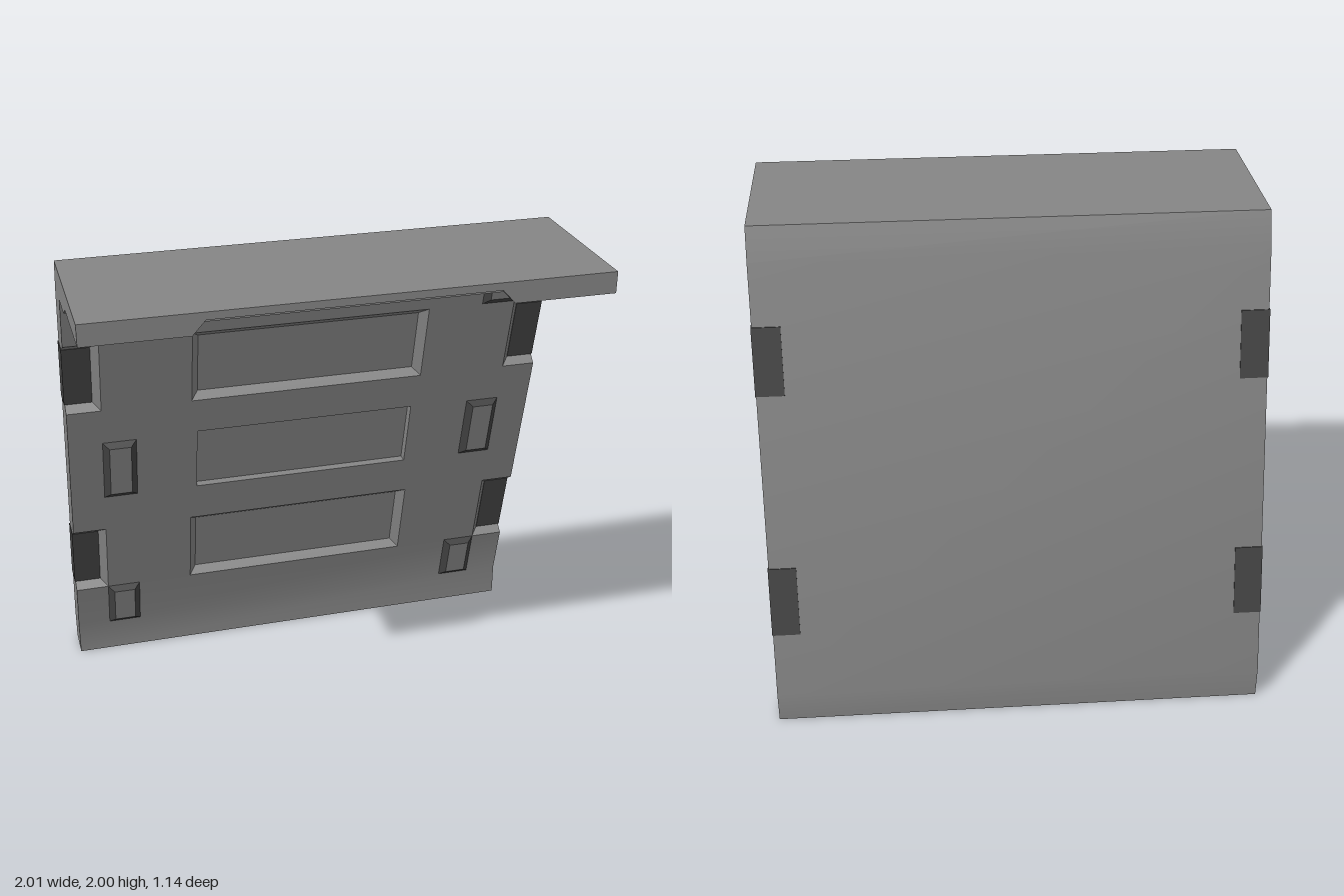
import * as THREE from 'three';
import { mergeGeometries, toCreasedNormals } from 'three/addons/utils/BufferGeometryUtils.js';

const DEPTH = 0.04; // recess depth
const RAISE = 0.023; // pad height
const frontZ = (y) => -0.43 + (y - 0.14) * 0.247;
const backZ = (y) => -0.57 + (y - 0.13) * 0.247;

// Mesh from four-cornered faces, corners counter-clockwise seen from outside
function quads(list) {
  const p = [];
  for (const [a, b, c, d] of list) p.push(...a, ...b, ...c, ...a, ...c, ...d);
  const g = new THREE.BufferGeometry();
  g.setAttribute('position', new THREE.Float32BufferAttribute(p, 3));
  return toCreasedNormals(g, 0.5);
}

// Sweeps a [z, y] path across x0..x1
function strip(path, x0 = -1, x1 = 1) {
  const list = [];
  for (let i = 0; i + 1 < path.length; i++) {
    const [za, ya] = path[i], [zb, yb] = path[i + 1];
    list.push([[x1, ya, za], [x0, ya, za], [x0, yb, zb], [x1, yb, zb]]);
  }
  return quads(list);
}

// Bevelled rectangle on the sloping wall; open = +1/-1 leaves that side unbevelled
function bevelled(x0, x1, y0, y1, inset, d, open = 0) {
  const ring = (i, h) => {
    const l = x0 + (open < 0 ? 0 : i), r = x1 - (open > 0 ? 0 : i);
    return [[l, y0 + i], [r, y0 + i], [r, y1 - i], [l, y1 - i]]
      .map(([x, y]) => [x, y, frontZ(y) + h]);
  };
  const o = ring(0, 0), n = ring(inset, d);
  const rim = [];
  for (let k = 0; k < 4; k++) {
    if ((open > 0 && k === 1) || (open < 0 && k === 3)) continue;
    const m = (k + 1) % 4;
    rim.push([o[k], o[m], n[m], n[k]]);
  }
  return { rim: quads(rim), face: quads([n]) };
}

const polygon = (pts) => new THREE.Shape(pts.map(([x, y]) => new THREE.Vector2(x, y)));

export function createModel() {
  const group = new THREE.Group();
  const grey = new THREE.MeshStandardMaterial({ color: 0x868686 });
  const dark = new THREE.MeshStandardMaterial({ color: 0x454545 });
  const add = (name, geometry, material = grey) => {
    const m = new THREE.Mesh(geometry, material);
    m.name = name;
    group.add(m);
  };

  const panels = [[0.49, 1.335, 1.665, 0.03], [0.465, 0.88, 1.175, 0], [0.49, 0.36, 0.705, 0.03]];
  const notches = [[0.36, 0.70], [1.335, 1.66]];
  const pads = [[0.14, 0.36], [0.88, 1.17], [1.665, 1.87]];

  // Back, roof and base
  add('backAndRoof', strip([[-0.57, 0], [-0.57, 0.13], [-0.14, 1.87], [-0.09, 2], [0.57, 2]]));
  add('roofUnderside', strip([[0.45, 1.915], [0.21, 1.915], [0.14, 1.875], [0, 1.875]]));
  add('base', strip([[-0.43, 0], [-0.57, 0]]));

  // Roof front edge with a shallow trapezoid cut from below
  const edge = new THREE.ShapeGeometry(polygon([[-1, 1.915], [-0.6, 1.915], [-0.55, 1.97],
    [0.55, 1.97], [0.6, 1.915], [1, 1.915], [1, 2], [-1, 2]]));
  add('roofFrontEdge', edge.translate(0, 0, 0.57));
  add('roofUndersideLeft', strip([[0.57, 1.915], [0.45, 1.915]], 0.6, 1));
  add('roofUndersideRight', strip([[0.57, 1.915], [0.45, 1.915]], -1, -0.6));
  const f = [[-0.6, 1.915, 0.57], [-0.55, 1.97, 0.57], [0.55, 1.97, 0.57], [0.6, 1.915, 0.57]];
  const b = [[-0.6, 1.915, 0.45], [-0.575, 1.945, 0.45], [0.575, 1.945, 0.45], [0.6, 1.915, 0.45]];
  add('roofEdgeCut', quads([
    [f[1], b[1], b[2], f[2]], [f[0], b[0], b[1], f[1]],
    [f[2], b[2], b[3], f[3]], [b[0], b[3], b[2], b[1]],
  ]));

  // Sloping front wall, open where panels and side notches sink in
  const right = [[1, 0.14]];
  for (const [y0, y1] of notches) right.push([1, y0], [0.86, y0], [0.86, y1], [1, y1]);
  right.push([1, 1.875]);
  const wall = polygon([...right, ...right.map(([x, y]) => [-x, y]).reverse()]);
  for (const [w, y0, y1] of panels) {
    wall.holes.push(polygon([[-w, y0], [-w, y1], [w, y1], [w, y0]]));
  }
  const wallGeo = new THREE.ShapeGeometry(wall).toNonIndexed();
  wallGeo.deleteAttribute('uv');
  const pos = wallGeo.attributes.position;
  for (let i = 0; i < pos.count; i++) pos.setZ(i, frontZ(pos.getY(i)));
  // Upright foot, shaded smoothly into the slope
  const foot = strip([[-0.43, 0.14], [-0.43, 0]]);
  add('frontWall', toCreasedNormals(mergeGeometries([wallGeo, foot]), 0.5));

  // Recessed centre panels
  for (const [w, y0, y1, inset] of panels) {
    const p = bevelled(-w, w, y0, y1, inset, -DEPTH);
    add('panelRim', p.rim);
    add('panelFace', p.face);
  }

  // Side profile with the notch dips in its front line
  const profile = [[-0.57, 0], [-0.43, 0], [-0.43, 0.14]];
  for (const [y0, y1] of notches) {
    profile.push([frontZ(y0), y0], [frontZ(y0 + 0.03) - DEPTH, y0 + 0.03],
      [frontZ(y1 - 0.03) - DEPTH, y1 - 0.03], [frontZ(y1), y1]);
  }
  profile.push([0, 1.875], [0.14, 1.875], [0.21, 1.915], [0.57, 1.915], [0.57, 2],
    [-0.09, 2], [-0.14, 1.87], [-0.57, 0.13]);

  for (const s of [1, -1]) {
    const cap = new THREE.ShapeGeometry(polygon(profile.map(([z, y]) => [-s * z, y])));
    add('sideFace', cap.rotateY(s * Math.PI / 2).translate(s, 0, 0));

    const span = (a, c) => (s > 0 ? [a, c] : [-c, -a]);
    for (const [y0, y1] of notches) {
      const n = bevelled(...span(0.86, 1), y0, y1, 0.03, -DEPTH, s);
      add('notchRim', n.rim);
      // Dark insert through the wall, a hair proud of it
      const lo = y0 + 0.03, hi = y1 - 0.03, e = 0.003;
      const section = polygon([[lo, 1], [lo, 0], [hi, 0], [hi, 1]]
        .map(([y, front]) => [front ? -(frontZ(y) - DEPTH + e) : -(backZ(y) - e), y]));
      const insert = new THREE.ExtrudeGeometry(section, { depth: 0.11 + e, bevelEnabled: false });
      add('sideInsert', insert.rotateY(Math.PI / 2).translate(s > 0 ? 0.89 : -1 - e, 0, 0), dark);
    }

    // Raised pads with dark bevels
    for (const [y0, y1] of pads) {
      const p = bevelled(...span(0.72, 0.86), y0, y1, 0.025, RAISE);
      add('padRim', p.rim, dark);
      add('padFace', p.face);
    }
  }
  return group;
}
